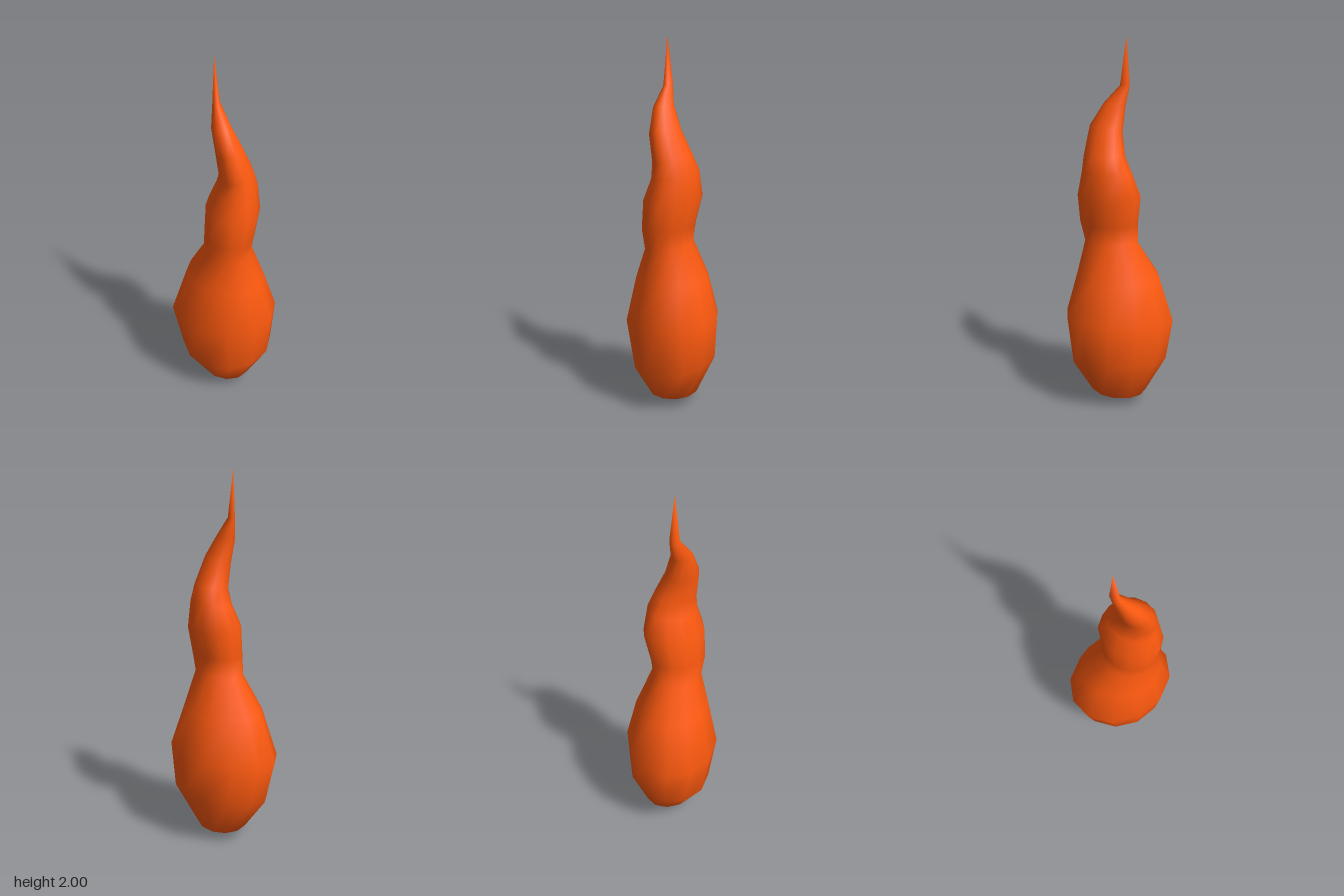
import * as THREE from 'three';

const SIDES = 12;

// Flame cross-sections: [xMin, yAtXMin, xMax, yAtXMax, zMin, yAtZMin, zMax, yAtZMax]
const RINGS = [
  [-0.125, 0.07, 0.15, 0.065, -0.15, 0.06, 0.15, 0.075],
  [-0.24, 0.215, 0.27, 0.285, -0.245, 0.29, 0.225, 0.215],
  [-0.292, 0.465, 0.292, 0.535, -0.26, 0.5, 0.26, 0.5],
  [-0.207, 0.73, 0.222, 0.74, -0.203, 0.73, 0.21, 0.745],
  [-0.102, 0.915, 0.156, 0.94, -0.102, 0.94, 0.175, 0.91],
  [-0.097, 1.03, 0.172, 1.04, -0.11, 1.035, 0.2, 1.02],
  [-0.09, 1.19, 0.194, 1.18, -0.142, 1.19, 0.198, 1.18],
  [-0.042, 1.3, 0.178, 1.325, -0.112, 1.325, 0.162, 1.3],
  [-0.02, 1.385, 0.157, 1.41, -0.072, 1.41, 0.157, 1.385],
  [-0.032, 1.51, 0.102, 1.555, -0.026, 1.53, 0.157, 1.53],
  [-0.055, 1.64, 0.04, 1.66, -0.01, 1.66, 0.107, 1.655],
  [-0.055, 1.75, -0.018, 1.76, -0.026, 1.76, 0.03, 1.75],
];

// Tilted, slightly skewed ellipses joined into a smooth skin with pointed ends
function flameGeometry() {
  const pos = [];
  const index = [];
  for (const [x0, yx0, x1, yx1, z0, yz0, z1, yz1] of RINGS) {
    const y = (yx0 + yx1 + yz0 + yz1) / 4;
    for (let j = 0; j < SIDES; j++) {
      const t = (j / SIDES) * Math.PI * 2 - 0.19;
      const c = Math.cos(t);
      const s = Math.sin(t + 0.13);
      pos.push(
        (x0 + x1) / 2 + ((x1 - x0) / 2) * c,
        y + ((yx1 - yx0) / 2) * c + ((yz1 - yz0) / 2) * s,
        (z0 + z1) / 2 + ((z1 - z0) / 2) * s
      );
    }
  }
  const bottom = RINGS.length * SIDES;
  const top = bottom + 1;
  pos.push(0.01, 0, 0, -0.045, 2, 0);

  const last = (RINGS.length - 1) * SIDES;
  for (let j = 0; j < SIDES; j++) {
    const k = (j + 1) % SIDES;
    index.push(bottom, j, k, last + j, top, last + k);
    for (let r = 0; r < last; r += SIDES) {
      index.push(r + j, r + SIDES + j, r + k);
      index.push(r + k, r + SIDES + j, r + SIDES + k);
    }
  }
  const geo = new THREE.BufferGeometry();
  geo.setAttribute('position', new THREE.Float32BufferAttribute(pos, 3));
  geo.setIndex(index);
  geo.computeVertexNormals();
  return geo;
}

export function createModel() {
  const group = new THREE.Group();
  group.name = 'flameModel';
  const flame = new THREE.Mesh(
    flameGeometry(),
    new THREE.MeshStandardMaterial({ color: 0xff5a0f })
  );
  flame.name = 'flame';
  group.add(flame);
  return group;
}
